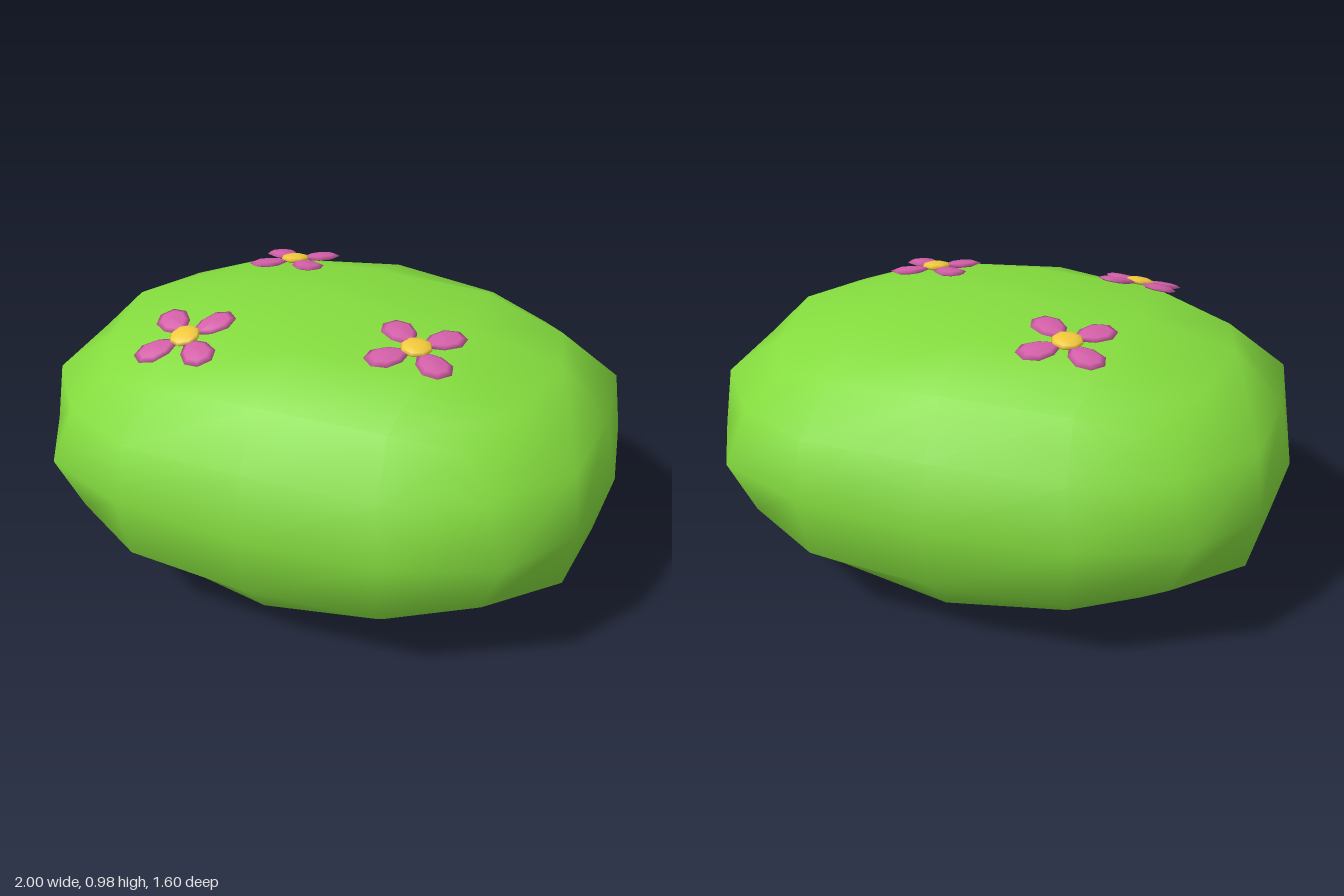
import * as THREE from 'three';
import { mergeVertices } from 'three/addons/utils/BufferGeometryUtils.js';

const mat = (color) => new THREE.MeshStandardMaterial({ color });

// Rounded cushion: a 4x4x4 cube grid whose points are pulled in by their place on the face.
// Key = number of coordinates on a face (1) and half way (0.5); value = [new 1, new 0.5].
const ROUNDING = {
  '1,0': [1, 0], '1,1': [0.95, 0.455], '1,2': [0.92, 0.43],
  '2,0': [0.785, 0], '2,1': [0.72, 0.4], '3,0': [0.62, 0],
};

function bushGeometry() {
  let geo = new THREE.BoxGeometry(2, 2, 2, 4, 4, 4);
  geo.deleteAttribute('normal');
  geo.deleteAttribute('uv');
  geo = mergeVertices(geo);
  const p = geo.attributes.position;
  for (let i = 0; i < p.count; i++) {
    const v = [p.getX(i), p.getY(i), p.getZ(i)];
    const count = (a) => v.filter((c) => Math.abs(Math.abs(c) - a) < 0.01).length;
    const [one, half] = ROUNDING[`${count(1)},${count(0.5)}`];
    const w = v.map((c) => Math.sign(c) * (Math.abs(c) > 0.75 ? one : Math.abs(c) > 0.25 ? half : 0));
    p.setXYZ(i, ...w);
  }
  geo.scale(1, 0.48, 0.8);
  geo.computeVertexNormals();
  return geo;
}

// Flat petal pointing along +x, narrower towards the flower centre
function petalGeometry() {
  const geo = new THREE.SphereGeometry(1, 8, 4);
  geo.rotateY(Math.PI / 8);
  const p = geo.attributes.position;
  for (let i = 0; i < p.count; i++) p.setZ(i, p.getZ(i) * (1 + 0.2 * p.getX(i)));
  geo.scale(0.075, 0.011, 0.055);
  geo.translate(0.105, 0, 0);
  geo.computeVertexNormals();
  return geo;
}

export function createModel() {
  const model = new THREE.Group();
  model.name = 'floweringBush';

  const bush = new THREE.Mesh(bushGeometry(), mat(0x84dc3e));
  bush.name = 'bush';
  bush.position.y = 0.484;
  model.add(bush);

  const petalGeo = petalGeometry();
  const centreGeo = new THREE.SphereGeometry(1, 8, 6).scale(0.053, 0.016, 0.053);
  const petalMat = mat(0xd35fa8);
  const centreMat = mat(0xf0c83c);
  const up = new THREE.Vector3(0, 1, 0);

  // Flowers: position, then the direction each one faces
  const flowers = [
    [[-0.3, 0.952, -0.31], [-0.06, 1, -0.13]],
    [[-0.375, 0.922, 0.385], [-0.09, 1, 0.28]],
    [[0.365, 0.949, 0.23], [0.06, 1, 0.12]],
  ];
  for (const [position, normal] of flowers) {
    const flower = new THREE.Group();
    flower.name = 'flower';
    for (let i = 0; i < 4; i++) {
      const petal = new THREE.Mesh(petalGeo, petalMat);
      petal.name = 'petal';
      petal.rotation.y = 0.85 + (i * Math.PI) / 2;
      flower.add(petal);
    }
    const centre = new THREE.Mesh(centreGeo, centreMat);
    centre.name = 'flowerCentre';
    centre.position.y = 0.005;
    flower.add(centre);
    flower.position.set(...position);
    flower.quaternion.setFromUnitVectors(up, new THREE.Vector3(...normal).normalize());
    model.add(flower);
  }
  return model;
}
